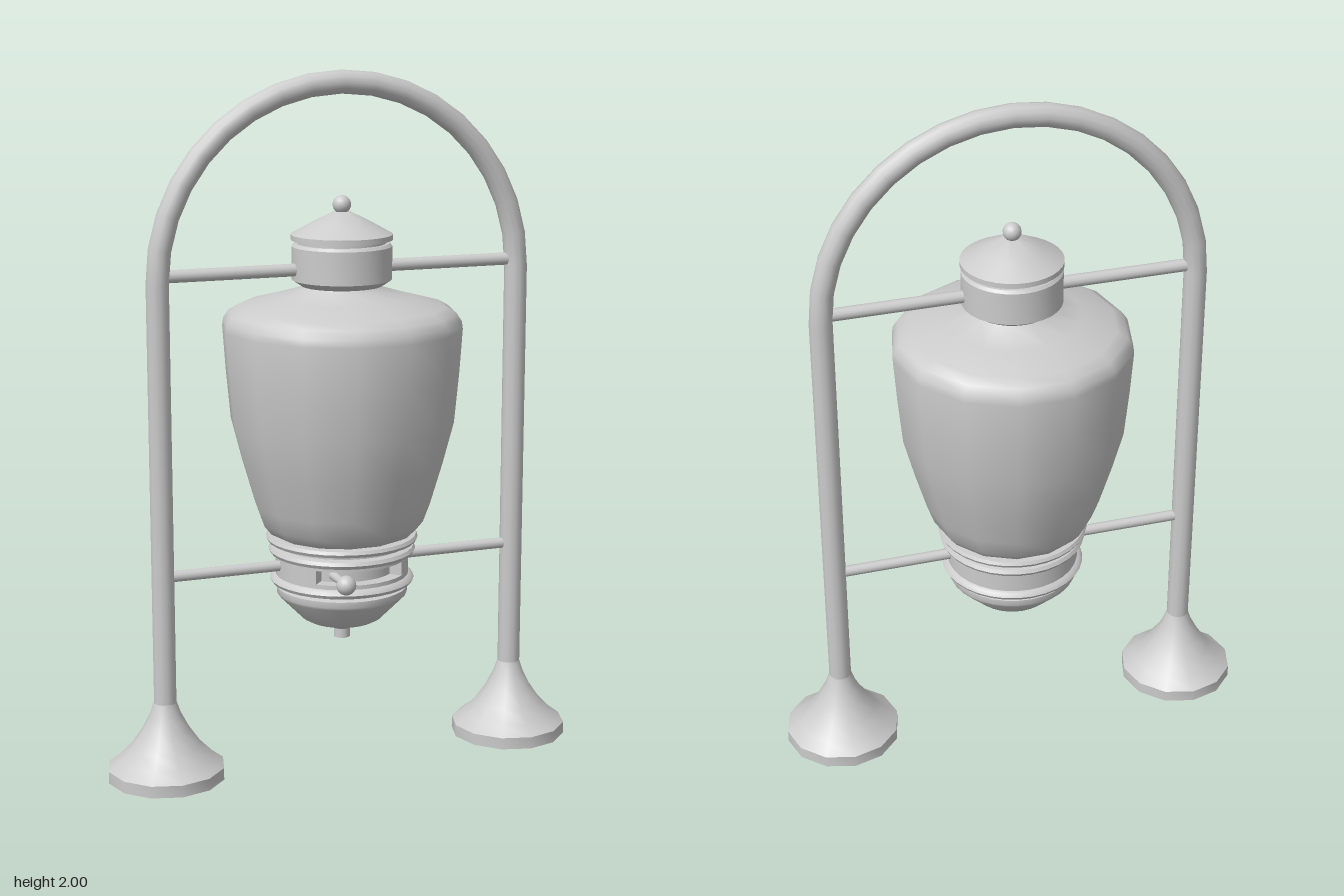
import * as THREE from 'three';
import { toCreasedNormals } from 'three/addons/utils/BufferGeometryUtils.js';

const grey = new THREE.MeshStandardMaterial({ color: 0xcccccc });
const greyDouble = new THREE.MeshStandardMaterial({ color: 0xcccccc, side: THREE.DoubleSide });

export function createModel() {
  const model = new THREE.Group();
  model.name = 'hangingDispenser';

  function add(name, geometry, x = 0, y = 0, z = 0, material = grey) {
    const mesh = new THREE.Mesh(geometry, material);
    mesh.name = name;
    mesh.position.set(x, y, z);
    model.add(mesh);
    return mesh;
  }

  // Turned part: profile is [radius, y] from bottom to top
  function turned(profile, sides = 32, phiStart = 0) {
    const points = profile.map(([r, y]) => new THREE.Vector2(r, y));
    return toCreasedNormals(new THREE.LatheGeometry(points, sides, phiStart), 0.7);
  }

  // Frame: two posts with hollow flared feet and a half-round arch
  const span = 0.538, tube = 0.033, archY = 1.43;
  const footProfile = [[0.17, 0], [0.17, 0.035], [0.135, 0.062], [0.1, 0.098],
    [0.068, 0.145], [0.045, 0.19], [tube, 0.225]];
  for (const side of [-1, 1]) {
    const label = side > 0 ? 'left' : 'right';
    add(label + 'Post', new THREE.CylinderGeometry(tube, tube, archY - 0.2, 12, 1, true),
      side * span, (archY + 0.2) / 2);
    add(label + 'Foot', turned(footProfile, 12), side * span, 0, 0, greyDouble);

    // Crossbars reaching in from each post
    for (const [name, y, r, inner] of [['UpperBar', 1.45, 0.018, 0.1], ['LowerBar', 0.595, 0.016, 0.12]]) {
      const bar = add(label + name, new THREE.CylinderGeometry(r, r, span - inner, 12),
        side * (span + inner) / 2, y);
      bar.rotation.z = Math.PI / 2;
    }
  }
  add('arch', new THREE.TorusGeometry(span, tube, 12, 18, Math.PI), 0, archY);

  // Faceted jar with rounded shoulder
  add('jar', turned([[0, 0.67], [0.185, 0.675], [0.215, 0.69], [0.235, 0.715], [0.255, 0.77],
    [0.29, 0.89], [0.321, 1.01], [0.334, 1.15], [0.343, 1.28], [0.34, 1.302], [0.325, 1.325],
    [0.295, 1.342], [0.2, 1.367], [0.115, 1.392], [0.1, 1.41]], 14, Math.PI / 14));

  // Collar, lid and knob
  add('collar', turned([[0, 1.4], [0.115, 1.4], [0.142, 1.418], [0.142, 1.512], [0.135, 1.52], [0, 1.52]]));
  add('lid', turned([[0, 1.515], [0.125, 1.515], [0.125, 1.53], [0.144, 1.53], [0.144, 1.545],
    [0.085, 1.578], [0.025, 1.608], [0, 1.608]]));
  add('lidKnob', new THREE.SphereGeometry(0.026, 16, 12), 0, 1.628);

  // Ringed base below the jar
  add('upperRing', turned([[0, 0.655], [0.19, 0.655], [0.215, 0.66], [0.22, 0.669],
    [0.215, 0.678], [0.17, 0.682]]));
  add('bandTop', turned([[0, 0.612], [0.193, 0.612], [0.193, 0.62], [0.207, 0.624], [0.213, 0.634],
    [0.207, 0.644], [0.19, 0.648], [0.19, 0.66]]));
  add('bandBottom', turned([[0, 0.53], [0.185, 0.53], [0.203, 0.536], [0.209, 0.546], [0.203, 0.556],
    [0.193, 0.56], [0.193, 0.572], [0, 0.572]]));
  add('bandCore', new THREE.CylinderGeometry(0.155, 0.155, 0.06, 32), 0, 0.592);

  // Middle of the band, left open at the front for the lever slot
  const gap = 0.74, start = -Math.PI / 2 + gap, end = 1.5 * Math.PI - gap;
  const band = new THREE.Shape();
  band.absarc(0, 0, 0.193, start, end, false);
  band.absarc(0, 0, 0.15, end, start, true);
  const bandGeometry = new THREE.ExtrudeGeometry(band, { depth: 0.042, bevelEnabled: false, curveSegments: 28 });
  bandGeometry.rotateX(-Math.PI / 2);
  add('slottedBand', toCreasedNormals(bandGeometry, 0.7), 0, 0.571);

  // Lever with ball end
  const lever = add('lever', new THREE.CylinderGeometry(0.01, 0.014, 0.1, 12), -0.075, 0.592, 0.185);
  lever.rotation.x = Math.PI / 2;
  add('leverBall', new THREE.SphereGeometry(0.028, 16, 12), -0.075, 0.592, 0.24);

  // Tapered bottom bowl and outlet
  add('bowl', turned([[0, 0.39], [0.03, 0.392], [0.052, 0.414], [0.1, 0.418], [0.118, 0.428],
    [0.186, 0.497], [0.19, 0.505], [0.19, 0.522], [0.172, 0.526], [0.172, 0.54]]));
  add('outlet', new THREE.CylinderGeometry(0.024, 0.024, 0.035, 12), 0, 0.38);

  return model;
}
